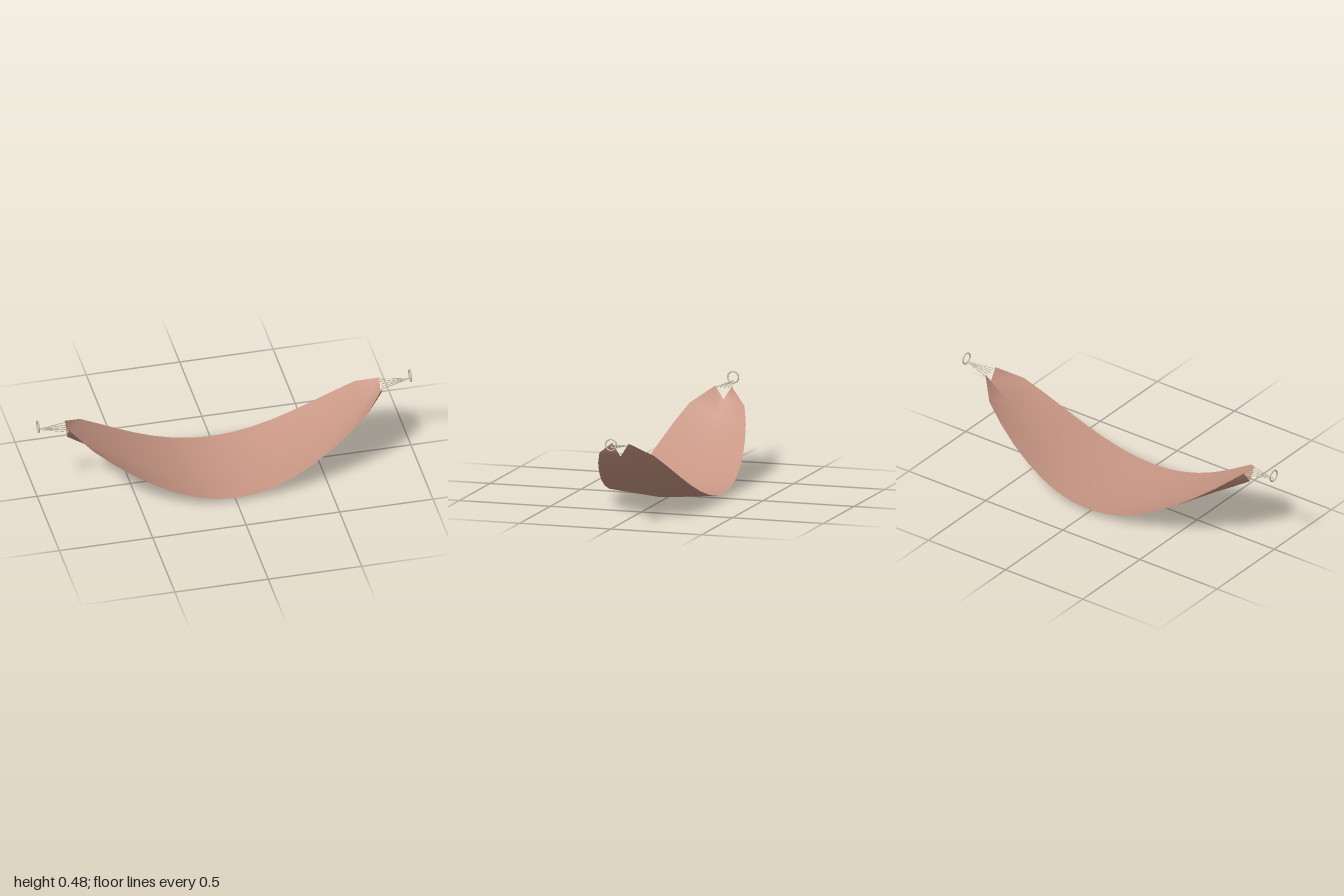
import * as THREE from 'three';

const HALF = 0.84; // half length of the cloth

export function createModel() {
  const cloth = new THREE.MeshStandardMaterial({ color: 0xc89684, side: THREE.DoubleSide });
  cloth.name = 'terracotta cloth';
  const cord = new THREE.MeshStandardMaterial({ color: 0xc9c1aa });
  cord.name = 'beige cord';

  const model = new THREE.Group();
  model.name = 'hammock';

  // Sagging cloth: a V-shaped section swept along a sine curve
  const sheet = new THREE.PlaneGeometry(2 * HALF, 2, 16, 2).rotateX(-Math.PI / 2);
  const p = sheet.attributes.position;
  for (let i = 0; i < p.count; i++) {
    const x = p.getX(i), side = p.getZ(i);
    const s = Math.max(0, Math.cos((x / HALF) * Math.PI / 2));
    const width = 0.045 + 0.24 * Math.sqrt(s);
    const centreY = 0.002 + 0.355 * (1 - s);
    const edgeY = 0.026 + 0.402 * (1 - s);
    p.setXYZ(i, x, THREE.MathUtils.lerp(centreY, edgeY, Math.abs(side)), side * width);
  }
  sheet.computeVertexNormals();
  const bed = new THREE.Mesh(sheet, cloth);
  bed.name = 'clothBed';
  model.add(bed);

  // Fan of cords and a hanging ring at each end
  for (const [side, label] of [[1, 'left'], [-1, 'right']]) {
    const end = new THREE.Group();
    end.name = label + 'Suspension';
    for (let i = -2; i <= 2; i++) {
      const path = new THREE.LineCurve3(
        new THREE.Vector3(side * HALF, 0.418, i * 0.0225),
        new THREE.Vector3(side * 0.996, 0.43, 0));
      const rope = new THREE.Mesh(new THREE.TubeGeometry(path, 1, 0.0022, 6), cord);
      rope.name = 'cord';
      end.add(rope);
    }
    const ring = new THREE.Mesh(new THREE.TorusGeometry(0.0302, 0.0038, 8, 14), cord);
    ring.name = 'hangingRing';
    ring.rotation.y = Math.PI / 2;
    ring.position.set(side * 0.996, 0.447, 0);
    end.add(ring);
    model.add(end);
  }
  return model;
}
